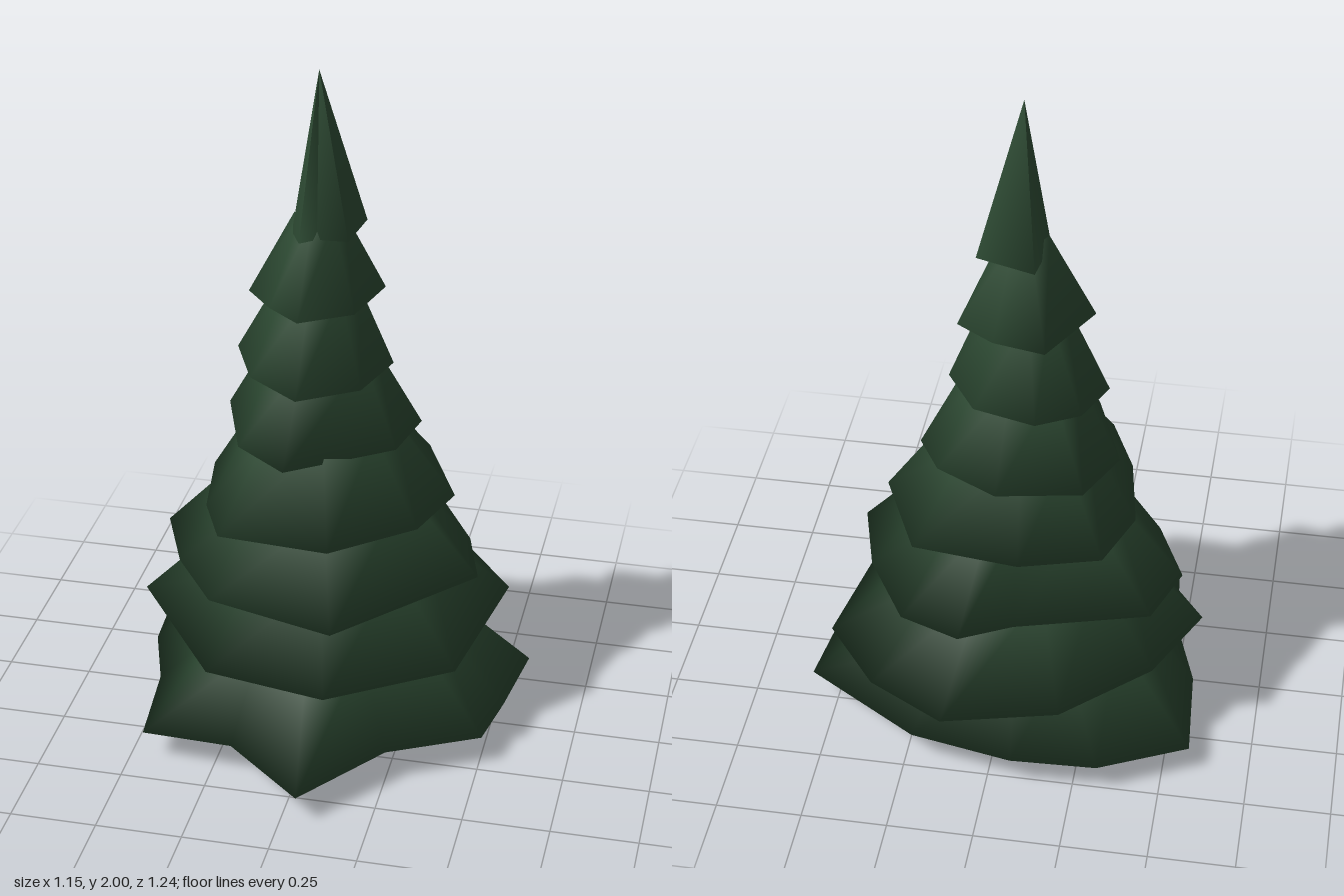
import * as THREE from 'three';

// Trunk axis
const CX = -0.03, CZ = -0.035;

// Rim corners of each tier from bottom to top, as x,z pairs, counter-clockwise from above
const rims = [
  [0.575, -0.24, 0.23, -0.47, -0.07, -0.53, -0.32, -0.515, -0.575, -0.385, -0.555, -0.095, -0.485, 0.12,
    -0.46, 0.4, -0.19, 0.425, 0.045, 0.615, 0.25, 0.36, 0.505, 0.215, 0.54, 0.03],
  [0.5, -0.28, 0.34, -0.49, 0.115, -0.62, -0.21, -0.53, -0.45, -0.3, -0.57, -0.05, -0.28, 0.35, 0.08, 0.42, 0.42, 0.2],
  [0.39, -0.2, 0.26, -0.425, 0.085, -0.49, -0.06, -0.4, -0.44, -0.31, -0.51, -0.115, -0.42, 0.1,
    -0.28, 0.3, 0.1, 0.42, 0.45, 0.02],
  [0.36, -0.08, 0.235, -0.36, -0.07, -0.39, -0.3, -0.33, -0.37, -0.13, -0.33, 0.12, -0.25, 0.3, 0.07, 0.32, 0.29, 0.13],
  [0.25, -0.13, 0.18, -0.25, 0, -0.35, -0.24, -0.31, -0.32, -0.13, -0.23, 0.13, -0.07, 0.26, 0.21, 0.05],
  [0.175, -0.08, 0.08, -0.23, -0.1, -0.285, -0.22, -0.22, -0.28, -0.08, -0.2, 0.1, -0.04, 0.23, 0.12, 0.11],
  [0.14, -0.13, 0.03, -0.2, -0.12, -0.24, -0.23, -0.02, -0.15, 0.07, -0.05, 0.16, 0.09, 0.06],
  [0.09, -0.11, -0.08, -0.165, -0.1, 0, -0.06, 0.09, -0.02, 0.04, 0.07, 0.05],
];

// Skirt from rim up to a rounder neck, plus a shallow underside sharing the rim so the edge shades softly
function tierGeometry(rim, level) {
  const isTip = level === rims.length - 1;
  const y = 0.09 + 0.207 * level;
  const top = isTip ? 2 : y + 0.25;
  const neck = isTip ? 0 : 0.36 - 0.22 * y;
  const lift = level === 0 ? -0.08 : 0.12; // long corners droop on the lowest tier and rise above it

  const n = rim.length / 2;
  const corners = [];
  for (let i = 0; i < n; i++) {
    const dx = rim[2 * i] - CX, dz = rim[2 * i + 1] - CZ;
    corners.push({ dx, dz, r: Math.hypot(dx, dz) });
  }
  const mean = corners.reduce((sum, c) => sum + c.r, 0) / n;

  const lower = [], upper = [], index = [];
  corners.forEach(({ dx, dz, r }, i) => {
    const k = neck * (1 + 0.5 * (r / mean - 1)) / r;
    lower.push(CX + dx, y + lift * (r - mean), CZ + dz);
    upper.push(CX + dx * k, top, CZ + dz * k);
    const j = (i + 1) % n;
    index.push(i, j, n + j);
    if (!isTip) index.push(i, n + j, n + i);
    index.push(2 * n, j, i);
  });

  const geo = new THREE.BufferGeometry();
  const positions = [...lower, ...upper, CX, y + 0.03, CZ];
  geo.setAttribute('position', new THREE.Float32BufferAttribute(positions, 3));
  geo.setIndex(index);
  geo.computeVertexNormals();
  return geo;
}

export function createModel() {
  const needles = new THREE.MeshStandardMaterial({ color: 0x2f4d35 });
  needles.name = 'needleGreen';
  const bark = new THREE.MeshStandardMaterial({ color: 0x4a3c36 });
  bark.name = 'barkBrown';

  const tree = new THREE.Group();
  tree.name = 'firTree';

  // Trunk
  const trunk = new THREE.Mesh(new THREE.CylinderGeometry(0.055, 0.057, 0.2, 12), bark);
  trunk.name = 'trunk';
  trunk.position.set(CX, 0.1, CZ);
  tree.add(trunk);

  // Branch tiers
  rims.forEach((rim, level) => {
    const tier = new THREE.Mesh(tierGeometry(rim, level), needles);
    tier.name = level === rims.length - 1 ? 'treeTop' : `branchTier${level + 1}`;
    tree.add(tier);
  });
  return tree;
}
